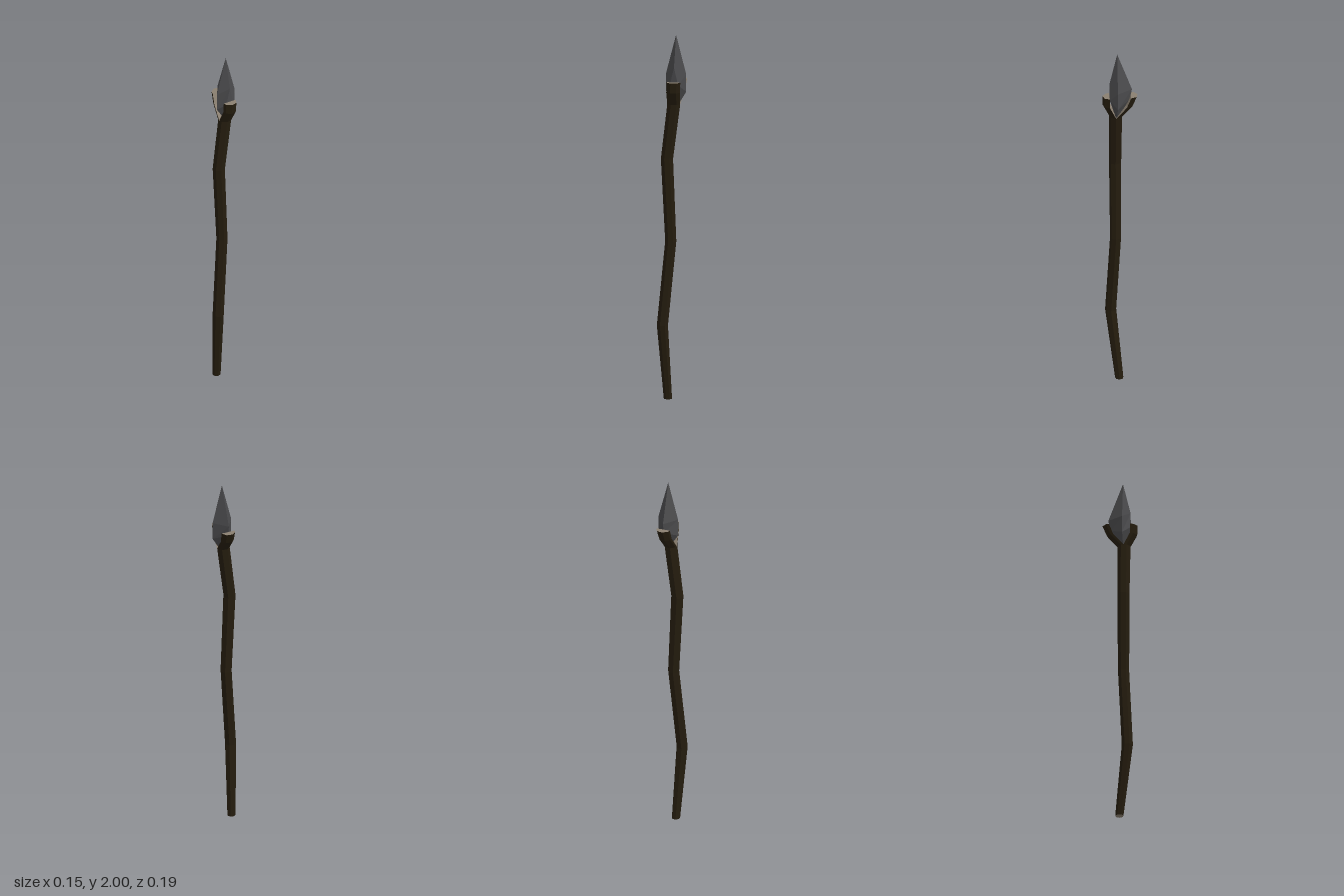
import * as THREE from 'three';

const material = (color) => new THREE.MeshStandardMaterial({ color, flatShading: true, side: THREE.DoubleSide });
const bark = material(0x241c0e);
const cutWood = material(0x8a7f70);
const stone = material(0x4a4a4c);

function meshFrom(name, points, mat) {
  const geometry = new THREE.BufferGeometry().setFromPoints(points);
  geometry.computeVertexNormals();
  const mesh = new THREE.Mesh(geometry, mat);
  mesh.name = name;
  return mesh;
}

// Joins cross-sections from bottom to top; open sections make a strip
function loft(rings, closed = true) {
  const out = [];
  for (let k = 0; k + 1 < rings.length; k++) {
    const lo = rings[k], hi = rings[k + 1], n = lo.length;
    for (let i = 0; i < (closed ? n : n - 1); i++) {
      const j = (i + 1) % n;
      out.push(lo[i], hi[i], lo[j], lo[j], hi[i], hi[j]);
    }
  }
  return out;
}

function cap(ring, up) {
  const out = [];
  for (let i = 1; i + 1 < ring.length; i++) {
    out.push(ring[0], ...(up ? [ring[i + 1], ring[i]] : [ring[i], ring[i + 1]]));
  }
  return out;
}

// Cross-section around (x, y, z) at the given angles in degrees
const section = ([x, y, z, r], angles) => angles.map((a) => {
  const t = THREE.MathUtils.degToRad(a);
  return new THREE.Vector3(x + r * Math.cos(t), y, z + r * Math.sin(t));
});

function createProng(name, stations, angles) {
  const group = new THREE.Group();
  group.name = name;
  const rings = stations.map((s) => section(s, angles));
  const split = rings.map((r) => [r[r.length - 1], r[0]]);
  group.add(
    meshFrom(name + 'Bark', loft(rings, false), bark),
    meshFrom(name + 'SplitFace', loft(split, false), cutWood),
    meshFrom(name + 'CutEnd', cap(rings[rings.length - 1], true), cutWood),
  );
  return group;
}

export function createModel() {
  const model = new THREE.Group();
  model.name = 'spear';

  // Crooked seven-sided shaft: x, y, z, radius
  const sides = [0, 50, 101, 152, 204, 255, 307];
  const shaft = [
    [-0.03, 0, 0, 0.023],
    [-0.048, 0.41, 0.045, 0.031],
    [-0.008, 0.87, 0.021, 0.031],
    [-0.029, 1.32, 0.022, 0.034],
    [0.009, 1.62, 0.022, 0.036],
  ].map((s) => section(s, sides));
  model.add(
    meshFrom('shaft', loft(shaft), bark),
    meshFrom('shaftBottomEnd', cap(shaft[0], false), cutWood),
    meshFrom('shaftSplitEnd', cap(shaft[4], true), cutWood),
  );

  // Two halves of the split top, spread around the head
  model.add(
    createProng('frontProng', [
      [0.009, 1.62, 0.022, 0.036], [0.015, 1.69, 0.056, 0.038], [0.018, 1.745, 0.057, 0.038],
    ], [0, 50, 101, 152, 180]),
    createProng('backProng', [
      [0.009, 1.62, 0.022, 0.036], [0.017, 1.69, -0.036, 0.037], [0.022, 1.75, -0.058, 0.039],
    ], [180, 204, 255, 307, 360]),
  );

  // Four-edged head with a chipped flat on its front ridge:
  // right edge, front flat corners, left edge, back edge
  const head = [
    [[0.02, 2, 0.015], [0.02, 2, 0.015], [0.02, 2, 0.015], [0.02, 2, 0.015], [0.02, 2, 0.015]],
    [[0.077, 1.785, 0.015], [0.02, 1.825, 0.056], [0.02, 1.825, 0.056], [-0.037, 1.785, 0.015], [0.02, 1.785, -0.065]],
    [[0.077, 1.69, 0.015], [0.043, 1.73, 0.056], [-0.003, 1.73, 0.056], [-0.037, 1.69, 0.015], [0.02, 1.725, -0.052]],
    [[0.022, 1.6, 0.018], [0.022, 1.6, 0.018], [0.022, 1.6, 0.018], [0.022, 1.6, 0.018], [0.022, 1.6, 0.018]],
  ].reverse().map((ring) => ring.map((p) => new THREE.Vector3(...p)));
  model.add(meshFrom('spearHead', loft(head), stone));

  return model;
}
